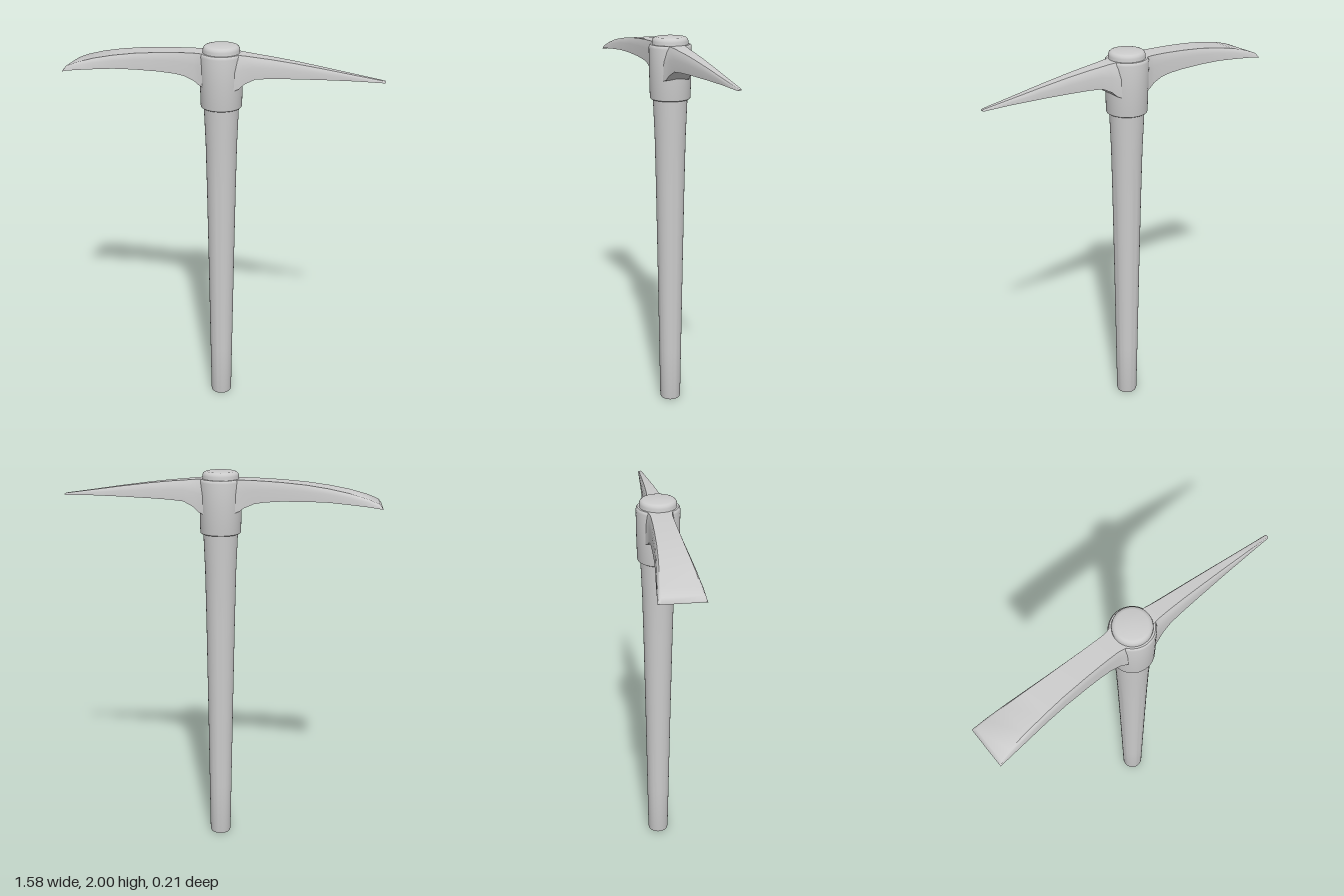
import * as THREE from 'three';
import { toCreasedNormals } from 'three/addons/utils/BufferGeometryUtils.js';

const material = new THREE.MeshStandardMaterial({ color: 0xcccccc });

function part(name, geometry, crease) {
  const mesh = new THREE.Mesh(toCreasedNormals(geometry, crease), material);
  mesh.name = name;
  return mesh;
}

function turned(name, profile) {
  const points = profile.map(([r, y]) => new THREE.Vector2(r, y));
  return part(name, new THREE.LatheGeometry(points, 48), 0.7);
}

// Lofted blade: each station is [x, bottom y, top y, half width], in rising x.
// topRatio narrows the upper face, shoulder is where its bevel starts.
function blade(name, stations, topRatio, shoulder) {
  const positions = [];
  const index = [];
  const n = 8;
  for (const [x, y0, y1, w] of stations) {
    const h = y1 - y0;
    const t = w * topRatio;
    const m = (w + t) / 2;
    const ys = y0 + h * shoulder;
    const yb = y0 + h * (0.35 * shoulder + 0.65);
    const loop = [[-t, y1], [t, y1], [m, yb], [w * 0.97, ys],
      [w, y0], [-w, y0], [-w * 0.97, ys], [-m, yb]];
    for (const [z, y] of loop) positions.push(x, y, z);
  }
  for (let i = 0; i < stations.length - 1; i++) {
    for (let j = 0; j < n; j++) {
      const a = i * n + j;
      const b = i * n + (j + 1) % n;
      index.push(a, b, b + n, a, b + n, a + n);
    }
  }
  // End caps
  const last = (stations.length - 1) * n;
  for (let j = 1; j < n - 1; j++) {
    index.push(0, j + 1, j, last, last + j, last + j + 1);
  }
  const geometry = new THREE.BufferGeometry();
  geometry.setAttribute('position', new THREE.Float32BufferAttribute(positions, 3));
  geometry.setIndex(index);
  return part(name, geometry, 0.75);
}

export function createModel() {
  const model = new THREE.Group();
  model.name = 'pickaxe';

  // Tapered shaft, passing through the head with a rounded top
  model.add(turned('handle', [
    [0, 0], [0.049, 0], [0.054, 0.003], [0.056, 0.012], [0.06, 0.3], [0.067, 0.8],
    [0.074, 1.25], [0.079, 1.5], [0.087, 1.7], [0.09, 1.9], [0.09, 1.98],
    [0.087, 1.99], [0.08, 1.997], [0.07, 2], [0, 2],
  ]));

  // Socket around the shaft
  model.add(turned('collar', [
    [0.086, 1.695], [0.097, 1.695], [0.101, 1.698], [0.102, 1.704], [0.105, 1.83],
    [0.106, 1.95], [0.104, 1.96], [0.099, 1.965], [0.088, 1.965],
  ]));

  // Pointed arm
  model.add(blade('pick', [
    [0.06, 1.79, 1.965, 0.075], [0.1, 1.805, 1.965, 0.062], [0.13, 1.832, 1.963, 0.056],
    [0.18, 1.857, 1.958, 0.05], [0.25, 1.863, 1.952, 0.044], [0.35, 1.867, 1.941, 0.037],
    [0.5, 1.871, 1.921, 0.027], [0.65, 1.873, 1.899, 0.018], [0.785, 1.871, 1.88, 0.01],
    [0.79, 1.872, 1.877, 0.008],
  ], 0.65, 0.55));

  // Flared digging arm
  model.add(blade('adze', [
    [-0.79, 1.843, 1.848, 0.104], [-0.775, 1.847, 1.867, 0.102], [-0.72, 1.854, 1.889, 0.098],
    [-0.63, 1.862, 1.914, 0.09], [-0.53, 1.869, 1.933, 0.08], [-0.42, 1.87, 1.948, 0.071],
    [-0.3, 1.867, 1.958, 0.065], [-0.22, 1.861, 1.962, 0.062], [-0.17, 1.852, 1.964, 0.061],
    [-0.12, 1.83, 1.965, 0.061], [-0.1, 1.815, 1.965, 0.064], [-0.06, 1.8, 1.965, 0.075],
  ], 0.84, 0.6));

  return model;
}
